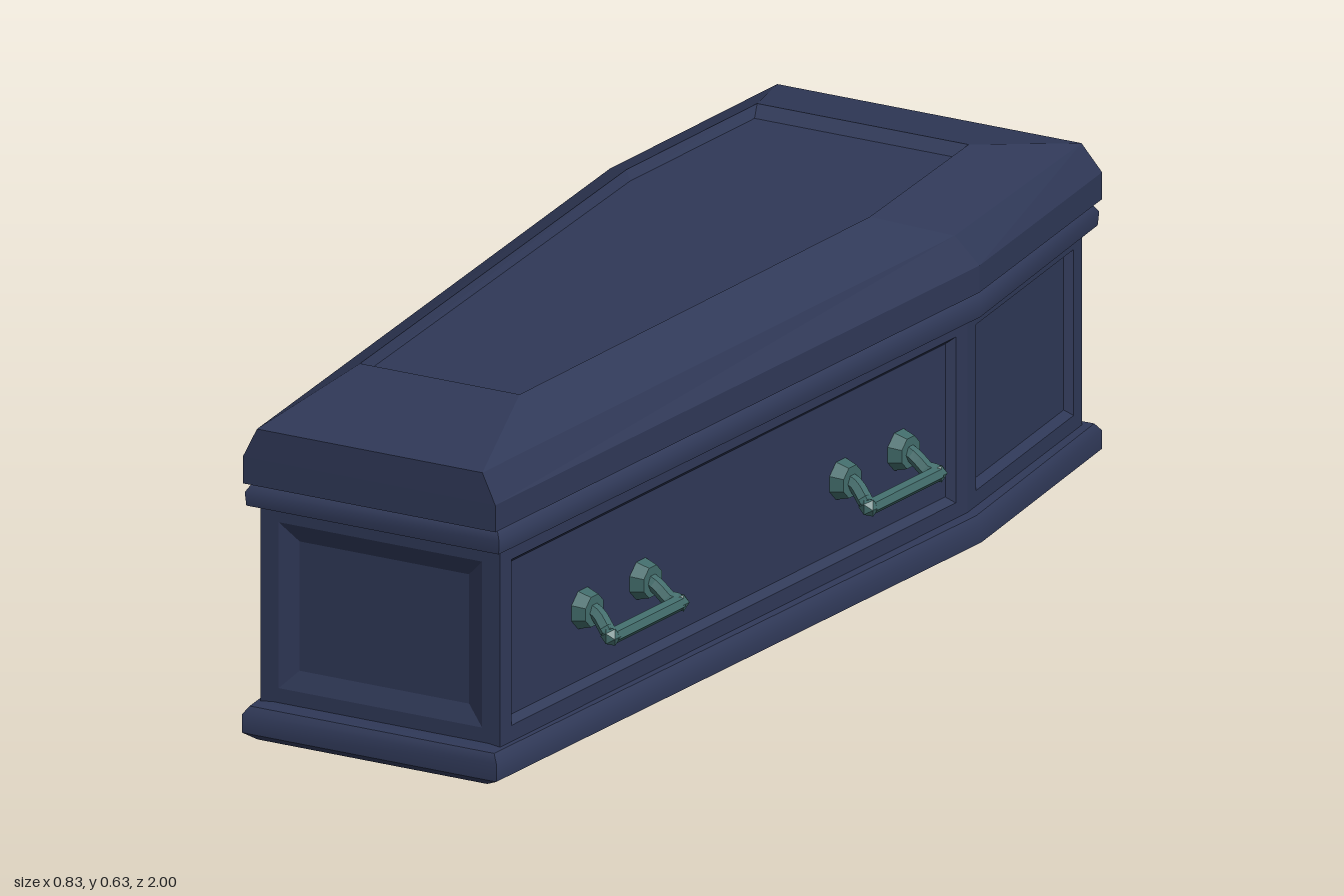
import * as THREE from 'three';
import { toCreasedNormals } from 'three/addons/utils/BufferGeometryUtils.js';

const V = (x, y, z) => new THREE.Vector3(x, y, z);

// Six-sided outline at height y: [half width, z] at foot, shoulder and head
function outline(y, foot, shoulder, head) {
  const half = [foot, shoulder, head];
  return [
    ...half.map(([w, z]) => V(w, y, z)),
    ...half.reverse().map(([w, z]) => V(-w, y, z)),
  ];
}

// Moulding outline, drawn in by dx at the sides and dz at the ends
const moulding = (y, dx, dz = dx) =>
  outline(y, [0.255 - dx, 1 - dz], [0.388 - dx, -0.48], [0.335 - dx, -1 + dz]);

// Skin over a series of matching loops, optionally closing the last and first
function loft(rings, capEnd = true, capStart = false) {
  const pos = [];
  const tri = (...pts) => pts.forEach((p) => pos.push(p.x, p.y, p.z));
  const cap = (r) => {
    for (let i = 1; i < r.length - 1; i++) tri(r[0], r[i], r[i + 1]);
  };
  for (let k = 0; k < rings.length - 1; k++) {
    const a = rings[k], b = rings[k + 1], n = a.length;
    for (let i = 0; i < n; i++) {
      const j = (i + 1) % n;
      tri(a[i], a[j], b[j]);
      tri(a[i], b[j], b[i]);
    }
  }
  if (capEnd) cap(rings[rings.length - 1]);
  if (capStart) cap([...rings[0]].reverse());
  const g = new THREE.BufferGeometry();
  g.setAttribute('position', new THREE.Float32BufferAttribute(pos, 3));
  g.computeVertexNormals();
  return g;
}

// Upright wall between two floor points with a sunken, bevelled panel
function wallPanel(p, q, y0, y1, margin, bevel, depth) {
  const along = q.clone().sub(p).normalize();
  const inward = V(along.z, 0, -along.x);
  const loop = (m, d) => {
    const a = p.clone().addScaledVector(along, m).addScaledVector(inward, d);
    const b = q.clone().addScaledVector(along, -m).addScaledVector(inward, d);
    const lo = y0 + m, hi = y1 - m;
    return [V(a.x, lo, a.z), V(b.x, lo, b.z), V(b.x, hi, b.z), V(a.x, hi, a.z)];
  };
  return loft([loop(0, 0), loop(margin, 0), loop(margin + bevel, depth)]);
}

export function createModel() {
  const model = new THREE.Group();
  model.name = 'coffin';
  const wood = new THREE.MeshStandardMaterial({ color: 0x2f3857 });
  wood.name = 'navy wood';
  const metal = new THREE.MeshStandardMaterial({ color: 0x426c6b });
  metal.name = 'teal metal';

  const add = (name, geometry, material, parent = model) => {
    const mesh = new THREE.Mesh(geometry, material);
    mesh.name = name;
    parent.add(mesh);
    return mesh;
  };

  // Base moulding
  add('baseMoulding', toCreasedNormals(loft([
    moulding(0, 0.025, 0.012), moulding(0.012, 0), moulding(0.046, 0),
    moulding(0.06, 0.01), moulding(0.064, 0.04),
  ], true, true), 0.75), wood);

  // Body walls with sunken panels
  const body = outline(0, [0.24, 0.96], [0.36, -0.48], [0.312, -0.97]);
  const names = ['leftLongWall', 'leftHeadWall', 'headWall',
    'rightHeadWall', 'rightLongWall', 'footWall'];
  names.forEach((name, i) => {
    const bevel = name === 'footWall' ? 0.034 : 0.012;
    add(name, wallPanel(body[i], body[(i + 1) % 6], 0.055, 0.435, 0.036, bevel, 0.014), wood);
  });

  // Rim moulding under the lid
  add('rimMoulding', toCreasedNormals(loft([
    moulding(0.43, 0.04), moulding(0.43, 0.002, 0.012), moulding(0.455, 0.0, 0.01),
    moulding(0.47, 0.009, 0.02), moulding(0.478, 0.02, 0.03),
  ], true, true), 0.75), wood);

  // Lid with sloping shoulders and a sunken top panel
  add('lid', loft([
    outline(0.475, [0.253, 1], [0.384, -0.48], [0.335, -1]),
    outline(0.525, [0.253, 1], [0.384, -0.48], [0.335, -1]),
    outline(0.58, [0.226, 0.998], [0.346, -0.46], [0.305, -0.98]),
    outline(0.635, [0.16, 0.75], [0.244, -0.34], [0.212, -0.745]),
    outline(0.617, [0.153, 0.745], [0.234, -0.335], [0.203, -0.72]),
  ], true, true), wood);

  // Carrying handles: two mounts and a bent grip
  const plate = new THREE.CylinderGeometry(0.03, 0.038, 0.026, 8)
    .rotateY(Math.PI / 8).rotateZ(-Math.PI / 2).toNonIndexed();
  plate.computeVertexNormals();
  const arm = [V(0, 0.238, 0.09), V(0.022, 0.228, 0.09), V(0.042, 0.207, 0.095), V(0.06, 0.2, 0.108)];
  const path = new THREE.CurvePath();
  const points = [...arm, ...[...arm].reverse().map((p) => V(p.x, p.y, -p.z))];
  for (let i = 0; i < points.length - 1; i++) {
    path.add(new THREE.LineCurve3(points[i], points[i + 1]));
  }
  const grip = new THREE.TubeGeometry(path, 36, 0.0145, 6).toNonIndexed();
  grip.computeVertexNormals();
  const knuckle = new THREE.IcosahedronGeometry(0.018, 0);

  const slope = Math.atan2(0.12, 1.44);
  for (const side of [1, -1]) {
    for (const z of [0.595, -0.2]) {
      const handle = new THREE.Group();
      handle.name = (side > 0 ? 'left' : 'right') + (z > 0 ? 'Foot' : 'Shoulder') + 'Handle';
      const wallX = 0.24 + (0.96 - z) * (0.12 / 1.44);
      handle.position.set(side * (wallX - 0.002), 0, z);
      handle.rotation.y = side > 0 ? -slope : Math.PI + slope;
      for (const end of [1, -1]) {
        add('mount', plate, metal, handle).position.set(0, 0.234, end * 0.09);
        add('knuckle', knuckle, metal, handle).position.set(0.058, 0.2, end * 0.106);
      }
      add('grip', grip, metal, handle);
      model.add(handle);
    }
  }

  model.position.x = 0.004;
  return model;
}
